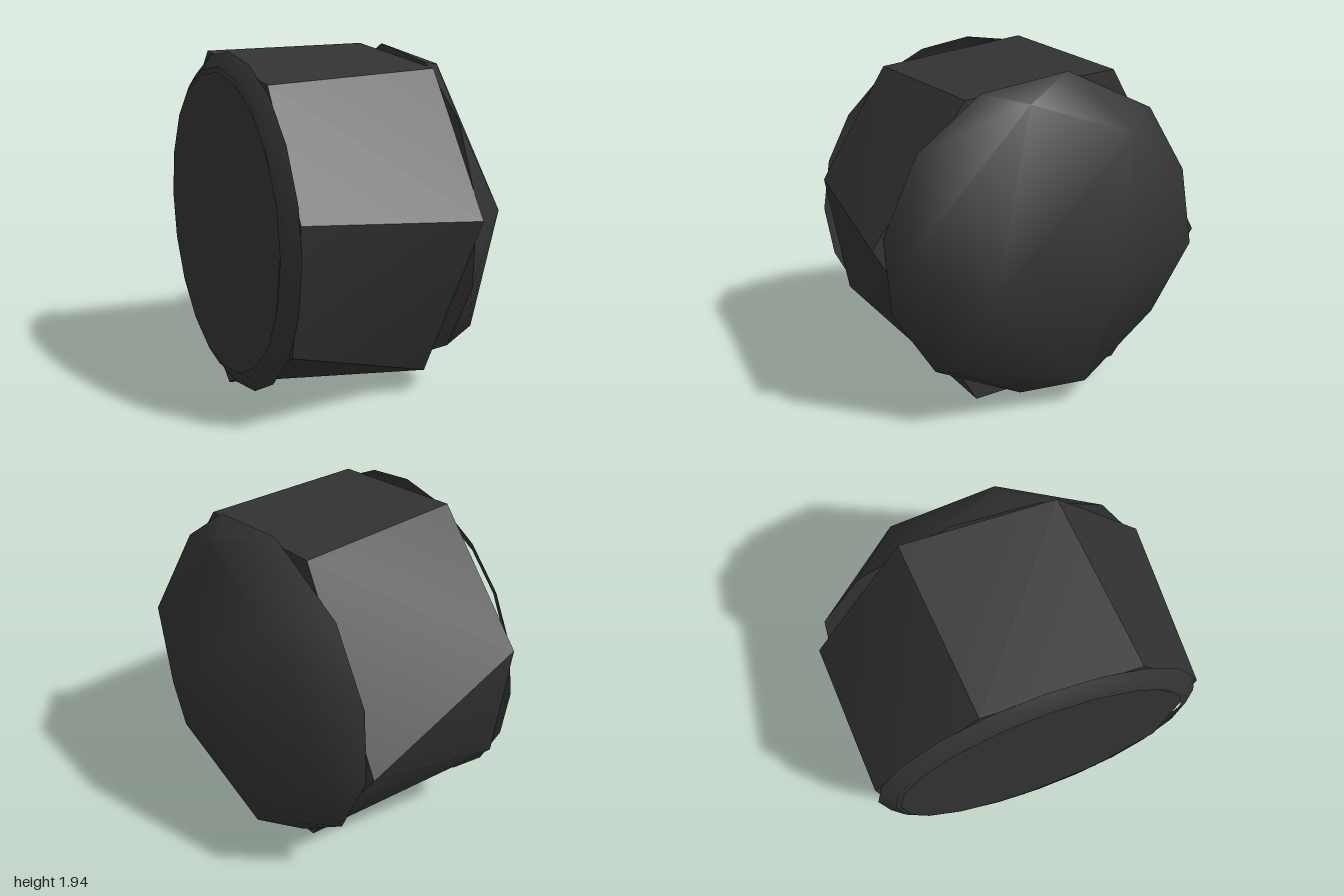
import * as THREE from 'three';
import { toCreasedNormals } from 'three/addons/utils/BufferGeometryUtils.js';
import { ConvexGeometry } from 'three/addons/geometries/ConvexGeometry.js';

const LEFT_X = -0.65;
const RIGHT_X = 0.36;

// Points around the x axis, angles in degrees measured from +z towards +y
function ring(x, radius, cy, angles) {
  return angles.map((deg) => {
    const a = THREE.MathUtils.degToRad(deg);
    return new THREE.Vector3(x, cy + radius * Math.sin(a), radius * Math.cos(a));
  });
}

export function createModel() {
  const model = new THREE.Group();
  model.name = 'roundCap';
  const darkGrey = new THREE.MeshStandardMaterial({ color: 0x333333 });
  darkGrey.name = 'darkGrey';

  const add = (name, geometry) => {
    const mesh = new THREE.Mesh(geometry, darkGrey);
    mesh.name = name;
    model.add(mesh);
  };

  // Barrel: two uneven polygon ends, corners given as [y, z]
  const leftEnd = [[1.82, 0.54], [1.18, 0.94], [0.46, 0.82], [0, -0.11], [0.54, -0.84], [1.27, -0.94], [1.92, -0.34]];
  const rightEnd = [[1.85, 0.46], [1.11, 1], [0.09, 0.42], [0.16, -0.47], [0.89, -1], [1.92, -0.42]];
  const barrel = new ConvexGeometry([
    ...leftEnd.map(([y, z]) => new THREE.Vector3(LEFT_X, y, z)),
    ...rightEnd.map(([y, z]) => new THREE.Vector3(RIGHT_X, y, z)),
  ]);
  add('barrel', toCreasedNormals(barrel, 0.6));

  // Domed end: closed base, bevelled rim and a shallow, uneven crown
  const baseAngles = [10, 39, 67, 98.5, 134.5, 163];
  const dome = new ConvexGeometry([
    ...ring(RIGHT_X, 0.95, 1, [...baseAngles, ...baseAngles.map((a) => a + 180)]),
    ...ring(0.55, 0.86, 1, [8, 78, 187, 258, 315]),
    new THREE.Vector3(0.62, 1.63, -0.4),
    new THREE.Vector3(0.717, 0.79, -0.31),
    new THREE.Vector3(0.7, 0.85, 0.45),
  ]);
  add('domedEnd', toCreasedNormals(dome, 1));

  // Thin bevelled rim of the flat end, with an outer and an inner skin
  const profile = [[0.84, -0.72], [0.88, -0.705], [0.95, LEFT_X], [0.88, -0.704], [0.84, -0.719]];
  const rim = new THREE.LatheGeometry(profile.map(([r, y]) => new THREE.Vector2(r, y)), 20);
  rim.rotateZ(-Math.PI / 2);
  rim.translate(0, 0.995, 0);
  add('flatEndRim', toCreasedNormals(rim, 0.5));

  // Flat end disc, with longer sides towards the front
  const outline = ring(0, 0.87, 0.995, [-96, -64, -32, 12.6, 54, 72, 90, 108, 126, 144, 162, 180, 198, 216, 234, 252]);
  const disc = new THREE.ShapeGeometry(new THREE.Shape(outline.map((p) => new THREE.Vector2(p.z, p.y))));
  disc.rotateY(-Math.PI / 2);
  disc.translate(-0.712, 0, 0);
  add('flatEndDisc', disc);

  return model;
}
